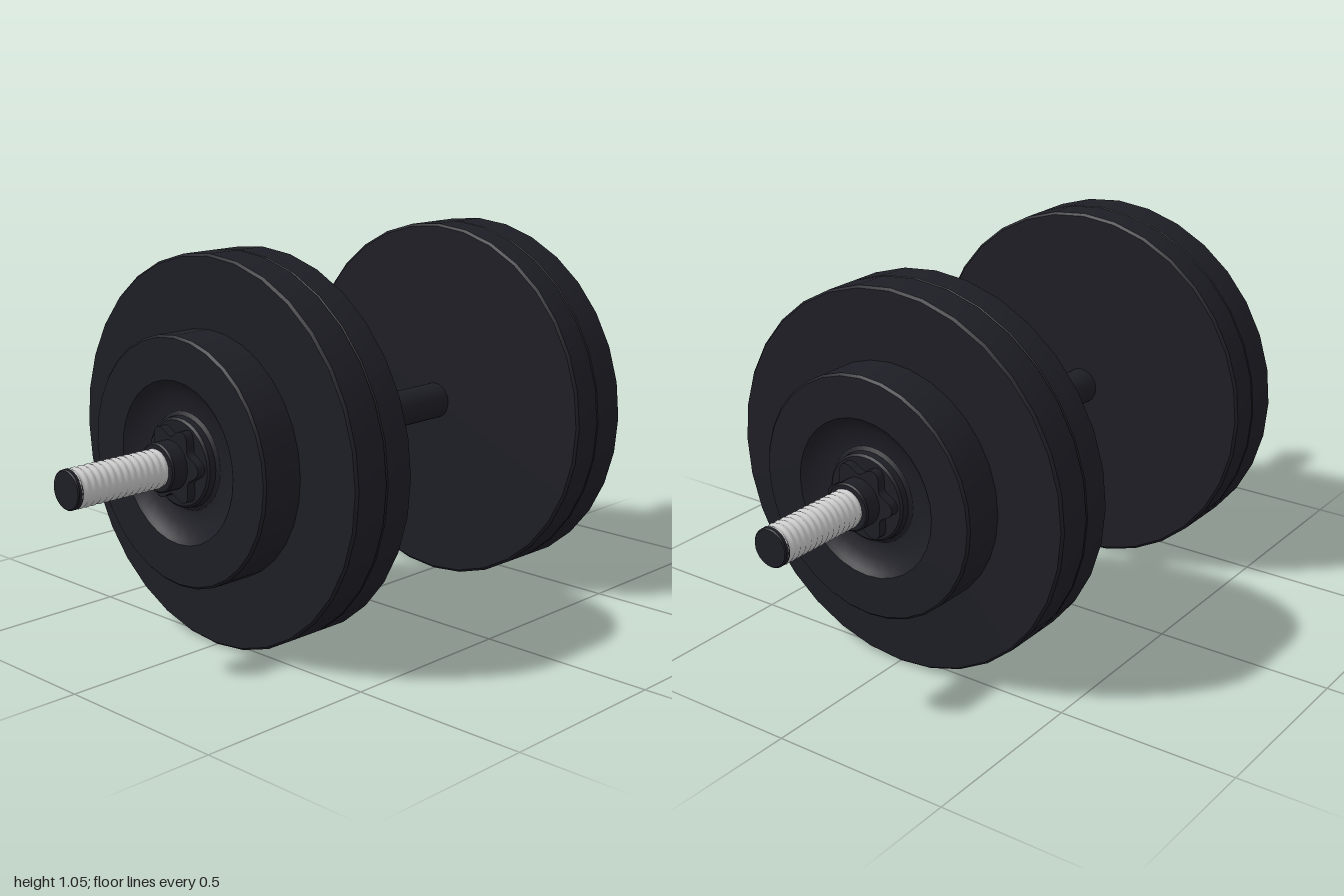
import * as THREE from 'three';
import { toCreasedNormals } from 'three/addons/utils/BufferGeometryUtils.js';

const AXIS_Y = 0.523;
const dark = new THREE.MeshStandardMaterial({ color: 0x1e1e26 });
const steel = new THREE.MeshStandardMaterial({ color: 0xcccccc });

function part(name, geometry, material, parent) {
  const mesh = new THREE.Mesh(geometry, material);
  mesh.name = name;
  parent.add(mesh);
  return mesh;
}

// Turned solid along +x from [radius, x] pairs, listed from the inner side outwards
function turned(profile, sides = 32) {
  const lathe = new THREE.LatheGeometry(profile.map(([r, x]) => new THREE.Vector2(r, x)), sides);
  lathe.rotateZ(-Math.PI / 2);
  return toCreasedNormals(lathe, 0.6);
}

// Rod with a helical V groove
function threadedRod(from, to, radius, depth, pitch) {
  const rows = Math.round((to - from) / pitch) * 6;
  const geo = new THREE.CylinderGeometry(radius, radius, to - from, 24, rows, true);
  const pos = geo.attributes.position;
  const uv = geo.attributes.uv;
  for (let i = 0; i < pos.count; i++) {
    const turn = pos.getY(i) / pitch + uv.getX(i) + 100;
    const wave = Math.abs((turn % 1) * 2 - 1);
    const k = 1 - (depth / radius) * wave;
    pos.setX(i, pos.getX(i) * k);
    pos.setZ(i, pos.getZ(i) * k);
  }
  geo.translate(0, (from + to) / 2, 0);
  geo.rotateZ(-Math.PI / 2);
  geo.computeVertexNormals();
  return geo;
}

// Six-lobed nut plate, lobes pointing along z
function lobedPlate(from, to) {
  const points = [];
  for (let i = 0; i < 72; i++) {
    const a = (i / 72) * Math.PI * 2;
    const r = 0.09 + 0.015 * Math.cos(6 * a);
    points.push(new THREE.Vector2(r * Math.cos(a), r * Math.sin(a)));
  }
  const geo = new THREE.ExtrudeGeometry(new THREE.Shape(points), { depth: to - from, bevelEnabled: false });
  geo.rotateY(Math.PI / 2);
  geo.translate(from, 0, 0);
  return toCreasedNormals(geo, 0.6);
}

// Everything on the +x end
function buildEnd(name) {
  const end = new THREE.Group();
  end.name = name;

  part('largePlate', turned([
    [0, 0.34], [0.516, 0.34], [0.523, 0.346], [0.523, 0.428], [0.52, 0.431],
    [0.523, 0.434], [0.523, 0.53], [0.517, 0.537], [0, 0.537],
  ]), dark, end);

  // Dished face with a raised boss in the middle
  part('smallPlate', turned([
    [0.33, 0.53], [0.33, 0.65], [0.324, 0.656], [0.215, 0.656], [0.205, 0.648],
    [0.175, 0.625], [0.13, 0.622], [0.12, 0.628], [0.118, 0.645], [0.112, 0.65], [0, 0.65],
  ]), dark, end);

  part('lobedNut', lobedPlate(0.648, 0.674), dark, end);
  part('nutCollar', turned([[0.065, 0.67], [0.065, 0.716], [0.061, 0.72], [0, 0.72]]), dark, end);

  part('threadedRod', threadedRod(0.71, 0.99, 0.052, 0.005, 0.02), steel, end);
  part('rodCap', turned([[0, 0.985], [0.051, 0.985], [0.051, 0.997], [0.048, 1], [0, 1]], 24), dark, end);
  return end;
}

export function createModel() {
  const model = new THREE.Group();
  model.name = 'dumbbell';

  part('handle', turned([[0.052, -0.345], [0.052, 0.345]]), dark, model).position.y = AXIS_Y;

  const leftEnd = buildEnd('leftEnd');
  const rightEnd = buildEnd('rightEnd');
  rightEnd.rotation.y = Math.PI;
  for (const end of [leftEnd, rightEnd]) {
    end.position.y = AXIS_Y;
    model.add(end);
  }
  return model;
}
